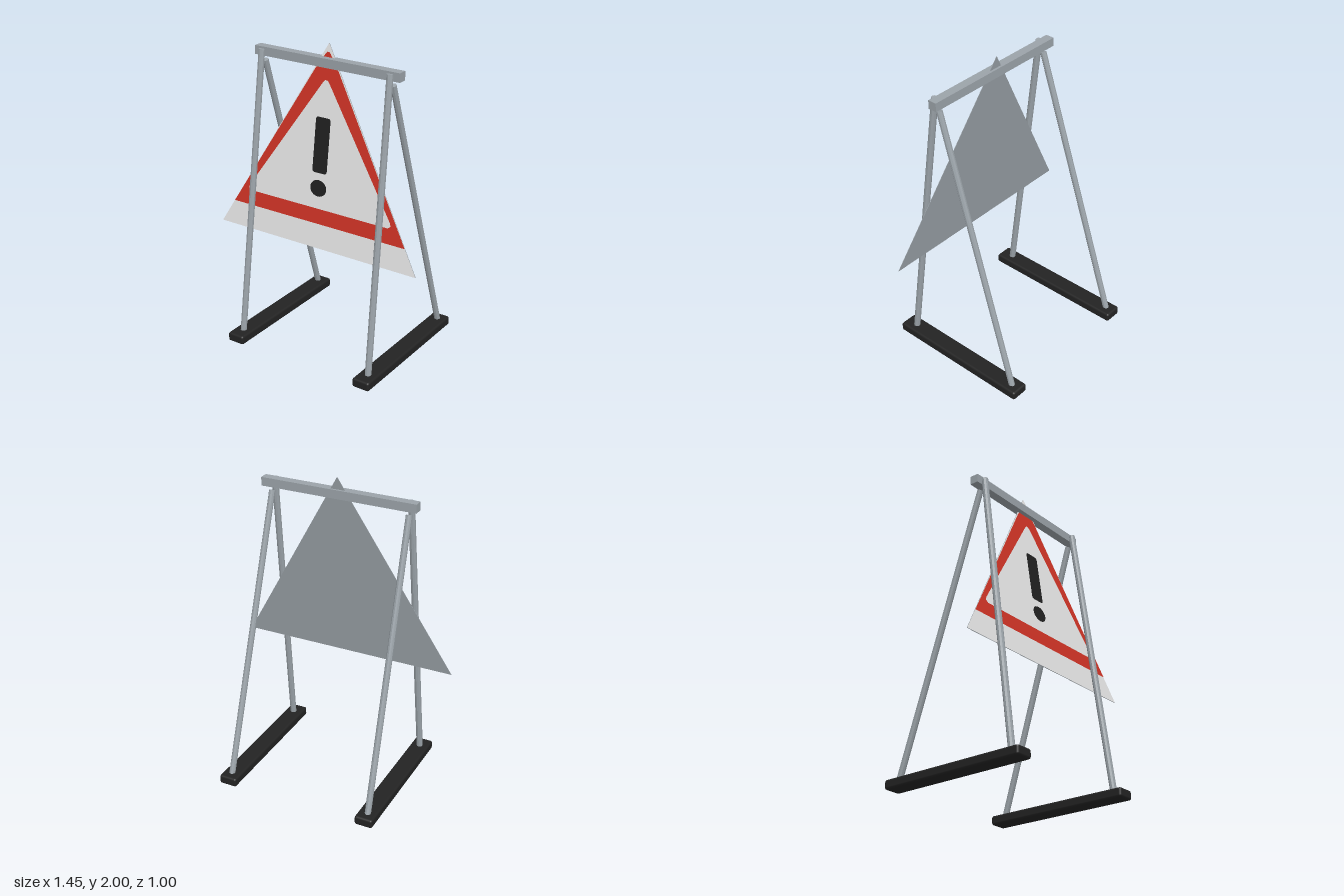
import * as THREE from 'three';
import { RoundedBoxGeometry } from 'three/addons/geometries/RoundedBoxGeometry.js';

const mat = (name, color, extra = {}) => {
  const m = new THREE.MeshStandardMaterial({ color, ...extra });
  m.name = name;
  return m;
};

export function createModel() {
  const model = new THREE.Group();
  model.name = 'warningSign';

  const metal = mat('galvanised metal', 0x9ba3a9);
  const tube = mat('tube metal', 0x9ba3a9, { flatShading: true });
  const white = mat('white', 0xeeeeee);
  const red = mat('red', 0xd03325);
  const black = mat('black', 0x202020);
  const rubber = mat('rubber', 0x232323);

  const add = (parent, name, geometry, material, x = 0, y = 0, z = 0) => {
    const mesh = new THREE.Mesh(geometry, material);
    mesh.name = name;
    mesh.position.set(x, y, z);
    parent.add(mesh);
    return mesh;
  };

  // Straight round tube between two points
  const addTube = (name, a, b, radius) => {
    const from = new THREE.Vector3(...a), to = new THREE.Vector3(...b);
    const dir = to.clone().sub(from);
    const mesh = add(model, name, new THREE.CylinderGeometry(radius, radius, dir.length(), 10), tube);
    mesh.position.copy(from).add(to).multiplyScalar(0.5);
    mesh.quaternion.setFromUnitVectors(new THREE.Vector3(0, 1, 0), dir.normalize());
  };

  // Feet and legs, mirrored left and right
  for (const [side, s] of [['left', 1], ['right', -1]]) {
    add(model, side + 'Foot', new RoundedBoxGeometry(0.12, 0.06, 1, 2, 0.014), rubber, s * 0.485, 0.03, 0);
    addTube(side + 'FrontLeg', [s * 0.486, 0.05, 0.412], [s * 0.457, 1.905, 0.172], 0.021);
    addTube(side + 'BackLeg', [s * 0.488, 0.05, -0.435], [s * 0.459, 1.83, 0.138], 0.02);
  }

  // Top crossbar
  add(model, 'crossbar', new THREE.BoxGeometry(1.034, 0.056, 0.058), metal, 0, 1.889, 0.135);

  // Leaning sign panel, hung from its apex
  const panel = new THREE.Group();
  panel.name = 'signPanel';
  const lean = Math.atan2(0.173, 1.26);
  panel.rotation.x = -lean;
  panel.position.set(0, 2, 0.11);
  model.add(panel);

  // Points are given in upright heights and stretched along the slope
  const slope = (y) => (y - 2) / Math.cos(lean);
  const points = (list) => list.map(([x, y]) => new THREE.Vector2(x, slope(y)));
  const mirrored = (half) => points([...half, ...half.map(([x, y]) => [-x, y]).reverse()]);

  const triangle = new THREE.Shape(points([[0, 2], [-0.727, 0.74], [0.727, 0.74]]));
  add(panel, 'backPlate', new THREE.ExtrudeGeometry(triangle, { depth: 0.003, bevelEnabled: false }), metal);
  add(panel, 'whiteFace', new THREE.ShapeGeometry(triangle), white, 0, 0, 0.0042);

  // Red border with a triangular opening
  const border = new THREE.Shape(mirrored([[0.637, 0.895], [0.085, 1.838], [0.018, 1.935], [0.008, 1.947]]));
  border.holes.push(new THREE.Path(mirrored([[0.51, 0.99], [0.528, 1.005], [0.522, 1.025], [0.022, 1.765], [0.008, 1.779]])));
  add(panel, 'redBorder', new THREE.ShapeGeometry(border), red, 0, 0, 0.0056);

  // Warning mark: rounded stroke and dot
  const stroke = new THREE.Shape();
  const w = 0.053, lo = slope(1.213), hi = slope(1.555), r = 0.02;
  stroke.moveTo(-w + r, lo).lineTo(w - r, lo).quadraticCurveTo(w, lo, w, lo + r);
  stroke.lineTo(w, hi - r).quadraticCurveTo(w, hi, w - r, hi);
  stroke.lineTo(-w + r, hi).quadraticCurveTo(-w, hi, -w, hi - r);
  stroke.lineTo(-w, lo + r).quadraticCurveTo(-w, lo, -w + r, lo);
  add(panel, 'markStroke', new THREE.ShapeGeometry(stroke, 6), black, 0, 0, 0.007);
  const dot = add(panel, 'markDot', new THREE.CircleGeometry(0.059, 24), black, 0, slope(1.118), 0.007);
  dot.scale.y = 0.88;

  return model;
}
